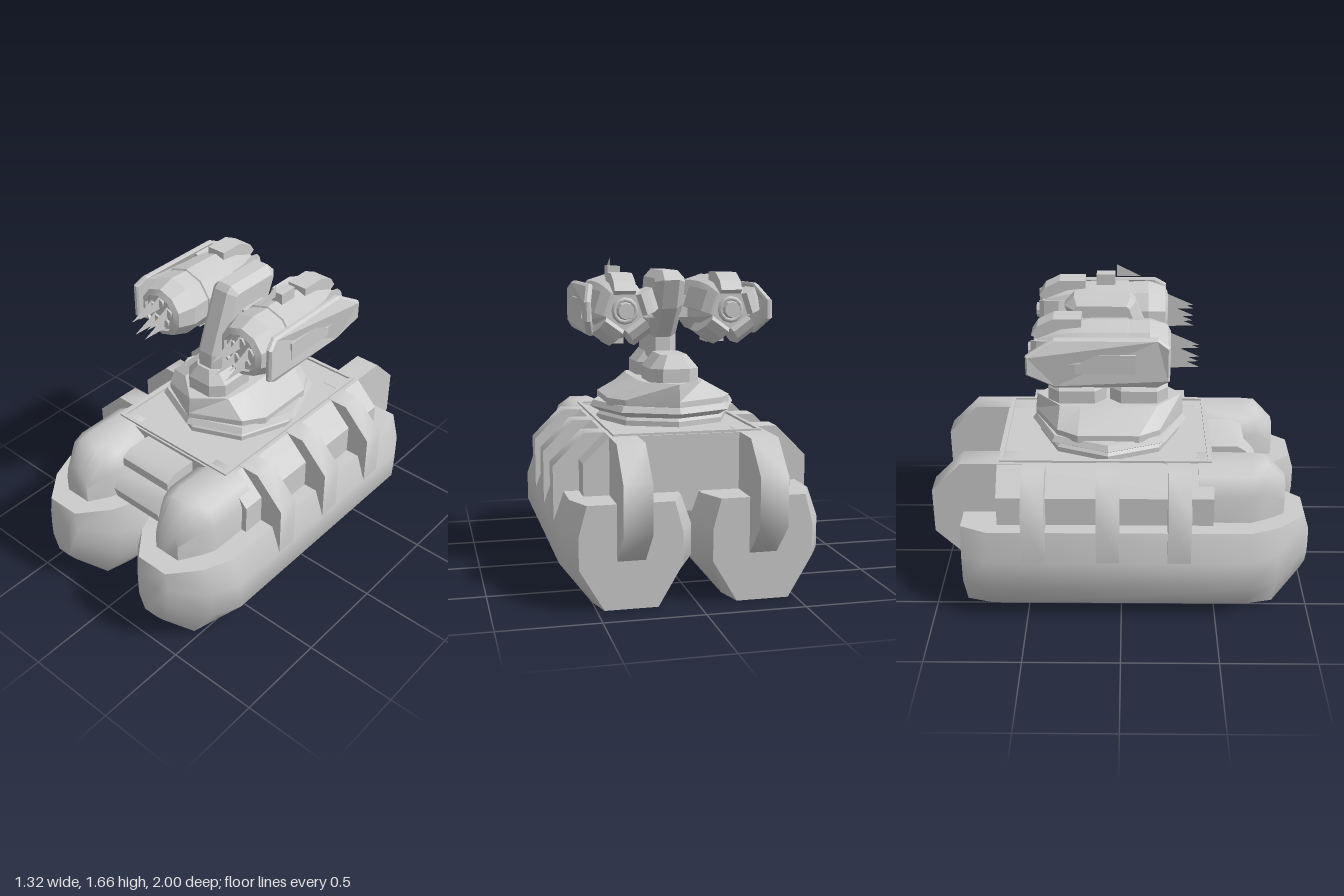
import * as THREE from 'three';
import { toCreasedNormals } from 'three/addons/utils/BufferGeometryUtils.js';

const grey = new THREE.MeshStandardMaterial({ color: 0xcccccc });
const thin = new THREE.MeshStandardMaterial({ color: 0xcccccc, side: THREE.DoubleSide });

function add(parent, name, geometry, x = 0, y = 0, z = 0, material = grey) {
  const mesh = new THREE.Mesh(geometry, material);
  mesh.name = name;
  mesh.position.set(x, y, z);
  parent.add(mesh);
  return mesh;
}

// Skin over sections [z, [[x, y], ...]]; corners counter-clockwise, z rising
function loft(sections, crease = 0.3) {
  const n = sections[0][1].length, pos = [], idx = [];
  for (const [z, ring] of sections) for (const [x, y] of ring) pos.push(x, y, z);
  const last = (sections.length - 1) * n;
  for (let s = 0; s < last; s += n) {
    for (let j = 0; j < n; j++) {
      const k = (j + 1) % n;
      idx.push(s + j, s + k, s + n + k, s + j, s + n + k, s + n + j);
    }
  }
  for (let j = 1; j < n - 1; j++) idx.push(0, j + 1, j, last, last + j, last + j + 1);
  const g = new THREE.BufferGeometry();
  g.setAttribute('position', new THREE.Float32BufferAttribute(pos, 3));
  g.setIndex(idx);
  return toCreasedNormals(g, crease);
}

// Loft upwards: levels [y, plan], plan holds [x, -z] corners
const tower = (levels) => loft(levels).rotateX(-Math.PI / 2);

// Plate cut from a (z, y) outline, centred on x = 0
function slab(points, width, bevel = 0) {
  const shape = new THREE.Shape(points.map(([z, y]) => new THREE.Vector2(z, y)));
  const g = new THREE.ExtrudeGeometry(shape, {
    depth: width - 2 * bevel, bevelEnabled: bevel > 0, bevelSegments: 1,
    bevelSize: bevel, bevelThickness: bevel, bevelOffset: -bevel,
  });
  return g.translate(0, 0, bevel - width / 2).rotateY(-Math.PI / 2);
}

// Elongated octagon plan
const octagon = (w, l, c, z = 0) => [
  [w - c, -l], [w, c - l], [w, l - c], [w - c, l],
  [c - w, l], [-w, l - c], [-w, c - l], [c - w, -l],
].map(([x, y]) => [x, y - z]);

// Swollen hull section: half width w, from y0 up to y1
const hullRing = (w, y0, y1) => [
  [-0.52, 0], [0.52, 0], [1, 0.4], [1, 0.71], [0.84, 1], [-0.84, 1], [-1, 0.71], [-1, 0.4],
].map(([x, t]) => [0.33 + x * w, y0 + t * (y1 - y0)]);

// Fender section with a rounded top
const fenderRing = (w, y0, y1) => [
  [-1, 0], [1, 0], [1, 0.65], [0.8, 0.9], [0.4, 1], [-0.4, 1], [-0.8, 0.9], [-1, 0.65],
].map(([x, t]) => [0.33 + x * w, y0 + t * (y1 - y0)]);

function hullSide() {
  const g = new THREE.Group();
  g.name = 'hullSide';
  add(g, 'lowerHull', loft([
    [-0.84, hullRing(0.255, 0, 0.52)], [-0.7, hullRing(0.33, 0, 0.52)],
    [0.67, hullRing(0.33, 0, 0.52)], [0.82, hullRing(0.26, 0, 0.52)],
    [0.97, hullRing(0.11, 0.16, 0.52)], [1, hullRing(0.075, 0.2, 0.42)],
  ], 1));
  add(g, 'frontFender', loft([
    [0.4, fenderRing(0.17, 0.42, 0.81)], [0.68, fenderRing(0.17, 0.42, 0.81)],
    [0.76, fenderRing(0.135, 0.42, 0.81)], [0.86, fenderRing(0.075, 0.42, 0.71)],
  ], 1));
  const rear = slab([[-0.5, 0.24], [-0.5, 0.81], [-0.84, 0.81], [-1, 0.65], [-1, 0.4], [-0.84, 0.24]], 0.14);
  add(g, 'rearDuct', toCreasedNormals(rear, 0.9), 0.33);
  // Ribs wrapping over the side
  const rib = new THREE.Shape([[0.36, 0.37], [0.66, 0.37], [0.66, 0.65], [0.5, 0.81], [0.36, 0.81]]
    .map((p) => new THREE.Vector2(...p)));
  for (const z of [0.3, -0.07, -0.455]) {
    const geo = new THREE.ExtrudeGeometry(rib, { depth: 0.12, bevelEnabled: false });
    add(g, 'sideRib', toCreasedNormals(geo, 0.9), 0, 0, z - 0.06);
  }
  return g;
}

function launcher(isLeft) {
  const g = new THREE.Group();
  g.name = 'launcher';
  const profile = [[0, -0.47], [0.04, -0.47], [0.05, -0.42], [0.1, -0.42], [0.15, -0.3], [0.165, -0.16],
    [0.168, 0.03], [0.16, 0.035], [0.165, 0.14], [0.135, 0.23], [0.105, 0.245], [0.1, 0.23], [0, 0.23]];
  const body = new THREE.LatheGeometry(profile.map((p) => new THREE.Vector2(...p)), 10);
  add(g, 'launcherBody', toCreasedNormals(body.rotateX(Math.PI / 2), 0.3));
  add(g, 'rearRing', new THREE.TorusGeometry(0.055, 0.014, 6, 12), 0, 0, -0.43);
  // Straps clasping the rear
  const strap = slab([[-0.2, 0.12], [-0.2, 0.185], [-0.34, 0.185], [-0.42, 0.145], [-0.45, 0.1], [-0.42, 0.08], [-0.3, 0.12]], 0.11);
  for (let i = 0; i < 5; i++) {
    add(g, 'rearStrap', strap).rotation.z = i * Math.PI * 2 / 5;
  }
  // Muzzle caps, each with a flat vertical blade
  const blade = new THREE.ShapeGeometry(new THREE.Shape([[0.235, -0.035], [0.39, -0.03], [0.235, 0.04]]
    .map((p) => new THREE.Vector2(...p)))).rotateY(-Math.PI / 2);
  for (let i = 0; i < 5; i++) {
    const a = Math.PI / 2 + i * Math.PI * 2 / 5;
    const x = Math.cos(a) * 0.058, y = Math.sin(a) * 0.058;
    const cap = new THREE.CylinderGeometry(0.03, 0.03, 0.015, 5).rotateX(Math.PI / 2);
    add(g, 'muzzleCap', cap, x, y, 0.235).rotation.z = a;
    add(g, 'muzzleBlade', blade, x, y, 0, thin);
  }
  add(g, 'bottomLug', new THREE.BoxGeometry(0.1, 0.05, 0.13), 0, -0.165, -0.075);
  // Bent armour plate on the outside
  const plate = slab([[0.24, -0.09], [0.24, 0.09], [0.18, 0.13], [-0.33, 0.13], [-0.47, 0.05], [-0.47, -0.05],
    [-0.33, -0.13], [0.18, -0.13]], 0.035, 0.01);
  const p = plate.attributes.position;
  for (let i = 0; i < p.count; i++) {
    p.setX(i, p.getX(i) + 0.2 - Math.max(0, Math.abs(p.getY(i)) - 0.03) * 0.42);
  }
  add(g, 'sidePlate', toCreasedNormals(plate, 0.2));
  add(g, 'plateMount', new THREE.BoxGeometry(0.1, 0.1, 0.3), 0.14, 0, -0.08);
  if (isLeft) {
    // Sight hatch with a single flat fin
    add(g, 'sightHatch', new THREE.BoxGeometry(0.065, 0.06, 0.1), 0, 0.185, -0.09);
    const fin = new THREE.Shape([[0.1, 0.195], [-0.03, 0.195], [-0.03, 0.26]].map((q) => new THREE.Vector2(...q)));
    add(g, 'sightFin', new THREE.ShapeGeometry(fin).rotateY(-Math.PI / 2), 0, 0, 0, thin);
  }
  return g;
}

export function createModel() {
  const model = new THREE.Group();
  model.name = 'twinLauncherVehicle';

  for (const side of [1, -1]) {
    const hull = hullSide();
    hull.scale.x = side;
    model.add(hull);
    const pod = launcher(side === 1);
    pod.position.set(0.275 * side, 1.405, 0);
    pod.scale.x = side;
    model.add(pod);
  }

  // Central body and deck
  const bodyRing = [[-0.53, 0.42], [0.53, 0.42], [0.53, 0.68], [0.4, 0.808], [-0.4, 0.808], [-0.53, 0.68]];
  add(model, 'centralBody', loft([[-0.65, bodyRing], [0.48, bodyRing]]));
  for (const s of [1, -1]) {
    add(model, 'deckRimSide', new THREE.BoxGeometry(0.02, 0.02, 1.11), s * 0.37, 0.81, -0.085);
    add(model, 'deckRimEnd', new THREE.BoxGeometry(0.76, 0.02, 0.02), 0, 0.81, -0.085 + s * 0.545);
  }
  const nose = slab([[0.4, 0.46], [0.66, 0.5], [0.73, 0.53], [0.75, 0.6], [0.7, 0.66], [0.64, 0.68],
    [0.67, 0.71], [0.67, 0.76], [0.62, 0.79], [0.4, 0.79]], 0.32);
  add(model, 'noseRollers', toCreasedNormals(nose, 0.7));

  // Turret ring and prow-shaped turret
  const ring = new THREE.LatheGeometry([[0, 0.8], [0.38, 0.8], [0.38, 0.835], [0.365, 0.85], [0.42, 0.88], [0.4, 0.91], [0, 0.91]]
    .map((q) => new THREE.Vector2(...q)), 8).scale(0.95, 1, 1);
  add(model, 'turretRing', toCreasedNormals(ring, 0.2), 0, 0, -0.07);
  const plan = (w, f, c) => [[0, -f], [w * c, 0.13 - f], [w, 0.24 - f], [w, f - 0.24], [w * c, f - 0.13],
    [0, f], [-w * c, f - 0.13], [-w, f - 0.24], [-w, 0.24 - f], [-w * c, 0.13 - f]];
  add(model, 'turret', tower([
    [0.9, plan(0.33, 0.4, 0.78)], [0.94, plan(0.33, 0.4, 0.78)], [1.03, plan(0.17, 0.39, 0.9)],
  ]), 0, 0, -0.07);

  // Mast feet, mast and cross axle
  for (const z of [0.09, -0.24]) {
    add(model, 'mastFoot', tower([
      [1.02, octagon(0.13, 0.155, 0.06)], [1.1, octagon(0.13, 0.155, 0.06)], [1.17, octagon(0.07, 0.12, 0.03)],
    ]), 0, 0, z);
  }
  add(model, 'mast', slab([[0.2, 1.1], [0.19, 1.25], [0.07, 1.57], [0.04, 1.6], [-0.25, 1.6], [-0.3, 1.55],
    [-0.24, 1.4], [-0.09, 1.24], [-0.09, 1.1]], 0.16, 0.04));
  add(model, 'crossAxle', new THREE.BoxGeometry(0.36, 0.11, 0.16), 0, 1.405, -0.08);

  return model;
}
